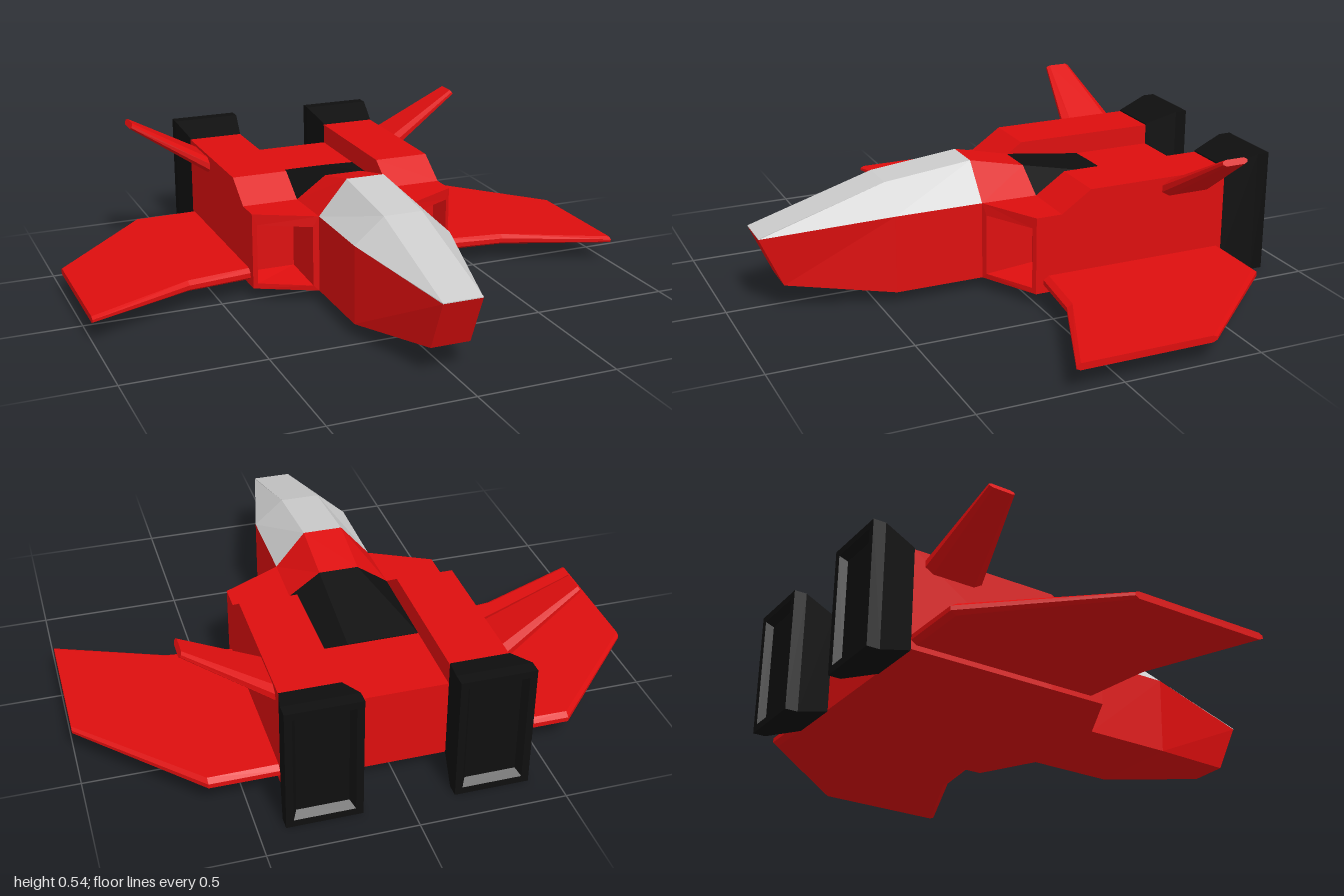
import * as THREE from 'three';

const paint = (color) => new THREE.MeshStandardMaterial({ color, flatShading: true });
const red = paint(0xdd0e0e), black = paint(0x0f0f0f), grey = paint(0xcccccc);

// Skins a list of equal-sized point rings, caps both ends and turns the faces outwards.
function loft(name, rings, material) {
  const n = rings[0].length, tris = [];
  for (let r = 0; r < rings.length - 1; r++) {
    for (let i = 0; i < n; i++) {
      const j = (i + 1) % n, a = rings[r], b = rings[r + 1];
      tris.push([a[i], a[j], b[j]], [a[i], b[j], b[i]]);
    }
  }
  const first = rings[0], last = rings[rings.length - 1];
  for (let i = 1; i < n - 1; i++) {
    tris.push([first[0], first[i + 1], first[i]], [last[0], last[i], last[i + 1]]);
  }
  let volume = 0;
  for (const [a, b, c] of tris) {
    volume += a[0] * (b[1] * c[2] - b[2] * c[1]) + a[1] * (b[2] * c[0] - b[0] * c[2]) + a[2] * (b[0] * c[1] - b[1] * c[0]);
  }
  if (volume < 0) tris.forEach((t) => t.reverse());
  const geometry = new THREE.BufferGeometry();
  geometry.setAttribute('position', new THREE.Float32BufferAttribute(tris.flat(2), 3));
  geometry.computeVertexNormals();
  const mesh = new THREE.Mesh(geometry, material);
  mesh.name = name;
  return mesh;
}

// Four-cornered cross-section; the z of each side may differ.
const box = (x0, x1, y0, y1, z0, z1 = z0) => [[x0, y0, z0], [x1, y0, z1], [x1, y1, z1], [x0, y1, z0]];

// Symmetric trapezoid: half width at base and top.
const trapezoid = (baseHalf, baseY, topHalf, topY, z, baseZ = z) =>
  [[-baseHalf, baseY, baseZ], [baseHalf, baseY, baseZ], [topHalf, topY, z], [-topHalf, topY, z]];

// Thin blade section at x with bevelled front and rear edges.
function blade(x, y, front, rear, half, bevel, tilt = 0) {
  const at = (z, h) => [x - tilt * h, y + h, z];
  return [at(front, -half * 0.4), at(front - bevel, -half), at(rear + bevel, -half),
    at(rear, -half * 0.4), at(rear, half * 0.4), at(rear + bevel, half),
    at(front - bevel, half), at(front, half * 0.4)];
}

const mirror = (rings, side) => rings.map((ring) => ring.map(([x, y, z]) => [side * x, y, z]));

export function createModel() {
  const model = new THREE.Group();
  model.name = 'starfighter';

  // Nose and central hull
  model.add(loft('fuselage', [
    trapezoid(0.07, 0.1, 0.07, 0.28, 0.89, 0.81),
    trapezoid(0.175, 0.05, 0.175, 0.33, 0.44),
    trapezoid(0.175, 0.05, 0.175, 0.33, 0.12),
    trapezoid(0.18, 0.05, 0.18, 0.33, -0.085),
    trapezoid(0.18, 0.05, 0.18, 0.33, -0.73),
  ], red));

  // Canopy and the spine fading into the rear deck
  const hump = [
    trapezoid(0.07, 0.28, 0.07, 0.283, 0.89),
    trapezoid(0.175, 0.33, 0.07, 0.42, 0.44),
    trapezoid(0.175, 0.33, 0.07, 0.455, 0.12),
    trapezoid(0.18, 0.33, 0.07, 0.408, -0.085),
    trapezoid(0.18, 0.33, 0.07, 0.333, -0.43),
  ];
  model.add(loft('canopy', hump.slice(0, 3), grey));
  model.add(loft('canopyFairing', hump.slice(2, 4), red));
  model.add(loft('rearDeckPanel', hump.slice(3, 5), black));

  for (const side of [1, -1]) {
    const half = new THREE.Group();
    half.name = side > 0 ? 'leftSide' : 'rightSide';
    const add = (name, rings, material) => half.add(loft(name, mirror(rings, side), material));

    // Pod: starts inside the intake recess, wraps over its lip and runs back
    add('enginePod', [
      box(0.205, 0.355, 0.09, 0.275, -0.06),
      box(0.195, 0.37, 0.07, 0.29, 0.112, 0.018),
      box(0.175, 0.385, 0.05, 0.33, 0.12, 0.01),
      box(0.18, 0.385, 0.05, 0.33, -0.085),
      box(0.18, 0.385, 0.05, 0.405, -0.195),
      box(0.18, 0.385, 0.05, 0.405, -0.73),
    ], red);

    // Flared nozzle with a recessed rear panel
    add('engineNozzle', [
      box(0.18, 0.385, 0.045, 0.41, -0.73),
      box(0.155, 0.41, 0.005, 0.45, -0.85),
      box(0.155, 0.41, 0.005, 0.45, -0.895),
      box(0.18, 0.385, 0.03, 0.425, -0.895),
      box(0.195, 0.37, 0.05, 0.405, -0.87),
    ], black);

    add('wing', [
      blade(0.37, 0.09, -0.02, -0.73, 0.022, 0.02),
      blade(0.62, 0.09, 0.01, -0.73, 0.02, 0.02),
      blade(1, 0.09, 0.17, -0.33, 0.012, 0.015),
    ], red);

    // Upswept tail fin
    add('tailFin', [
      blade(0.38, 0.362, -0.475, -0.69, 0.03, 0.03),
      blade(0.665, 0.537, -0.535, -0.63, 0.01, 0.012, 0.5),
    ], red);

    model.add(half);
  }
  return model;
}
